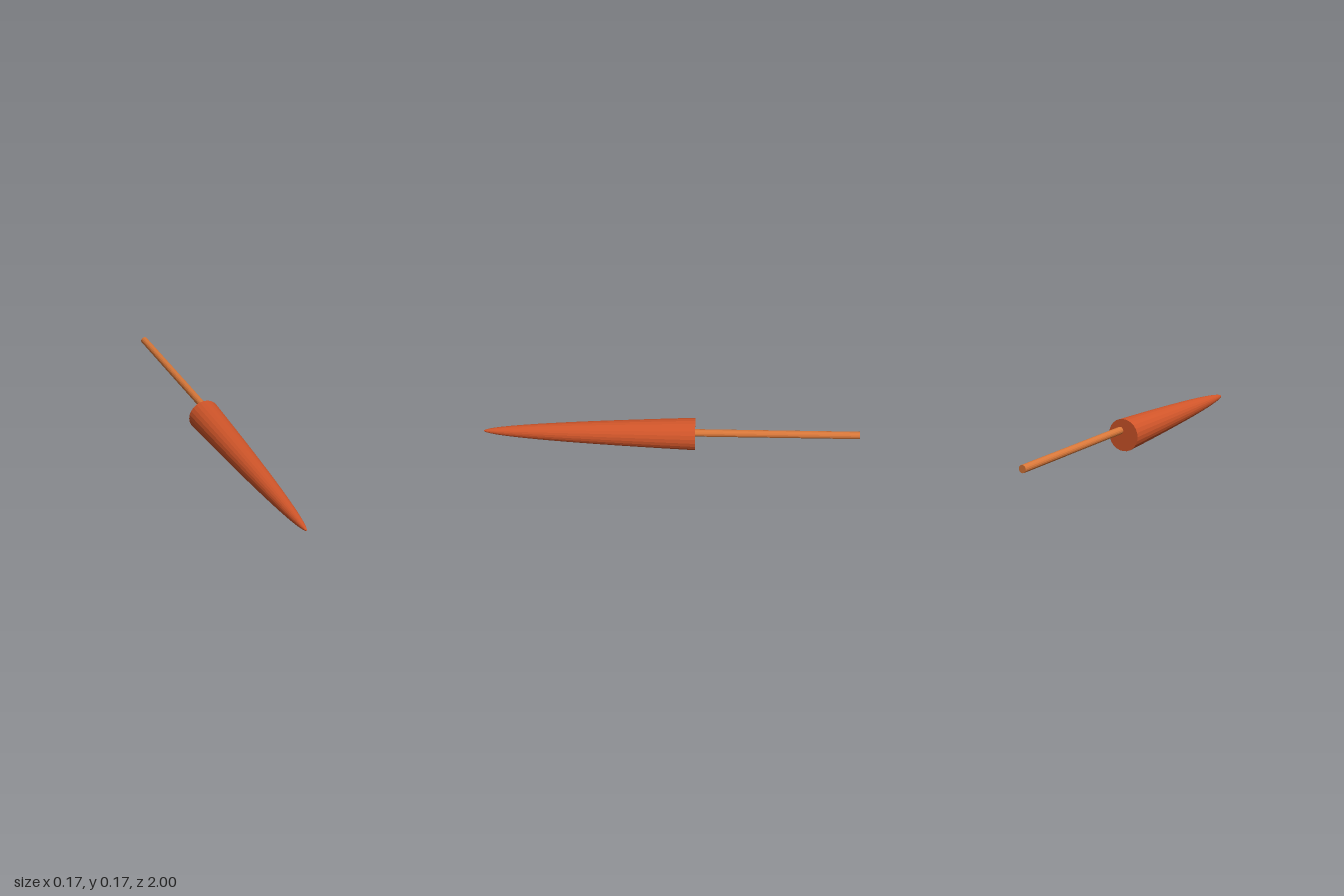
import * as THREE from 'three';

export function createModel() {
  const model = new THREE.Group();
  const baseZ = -0.13, tipZ = 1, radius = 0.087, steps = 24;

  // Rounded nose body: a power-curve profile, closed by a flat base
  const profile = [new THREE.Vector2(0, baseZ)];
  for (let i = steps; i >= 0; i--) {
    const t = (i / steps) ** 2; // finer rings towards the tip
    profile.push(new THREE.Vector2(radius * t ** 0.54, tipZ - t * (tipZ - baseZ)));
  }
  const body = new THREE.Mesh(
    new THREE.LatheGeometry(profile, 24).rotateX(Math.PI / 2),
    new THREE.MeshStandardMaterial({ color: 0xd2562a, flatShading: true })
  );
  body.name = 'taperedBody';
  body.position.y = radius;
  model.add(body);

  // Thin rod, set off-centre in the base
  const rodLength = 0.89;
  const rod = new THREE.Mesh(
    new THREE.CylinderGeometry(0.02, 0.02, rodLength, 16).rotateX(Math.PI / 2),
    new THREE.MeshStandardMaterial({ color: 0xd9783a, flatShading: true })
  );
  rod.name = 'rod';
  rod.position.set(0.02, 0.11, -1 + rodLength / 2);
  model.add(rod);

  return model;
}
